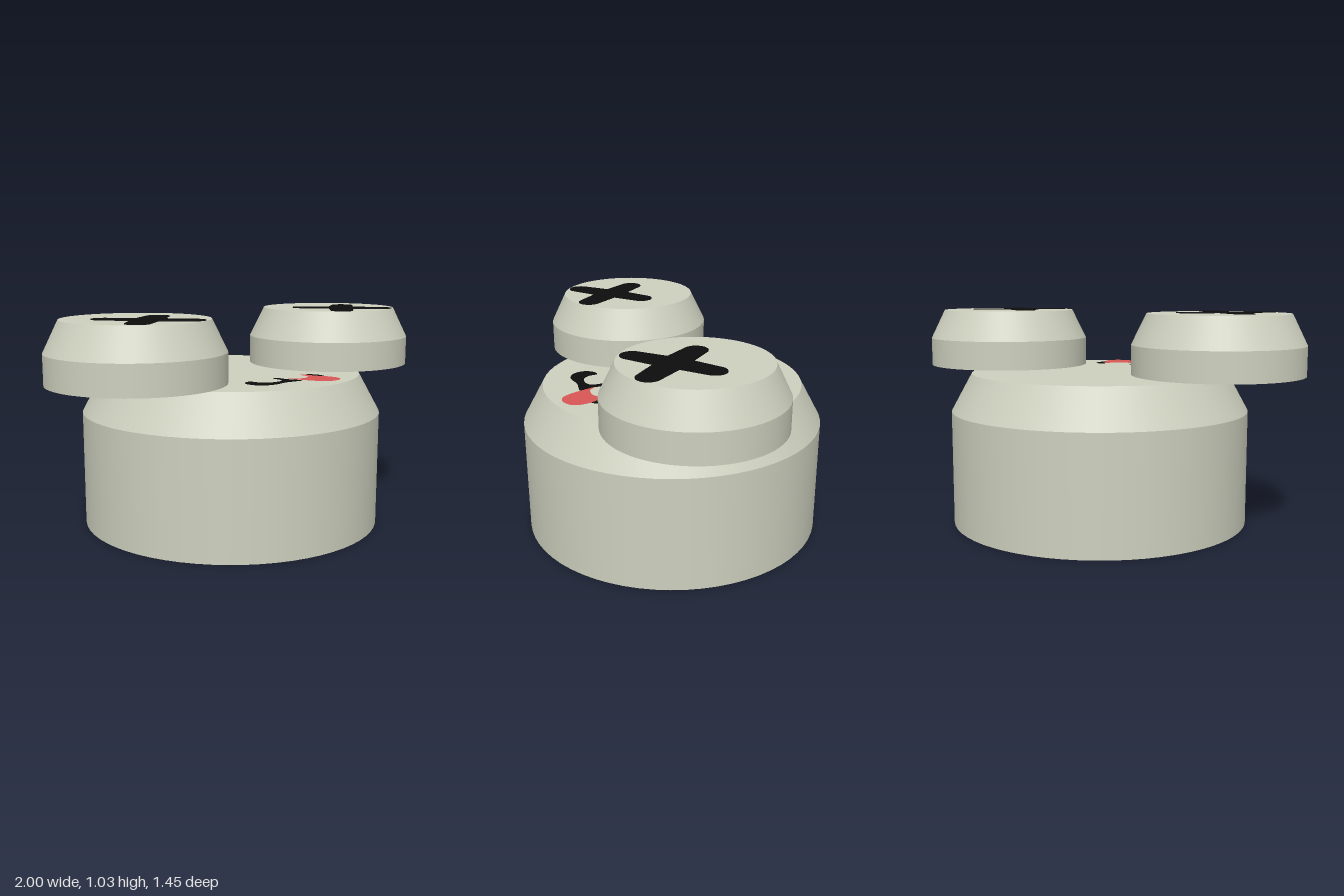
import * as THREE from 'three';

const mat = (name, color) => {
  const m = new THREE.MeshStandardMaterial({ color, side: THREE.DoubleSide });
  m.name = name;
  return m;
};

export function createModel() {
  const clay = mat('pale clay', 0xcdd0be);
  const black = mat('black', 0x0d0d0d);
  const red = mat('tongue red', 0xd95656);

  const model = new THREE.Group();
  model.name = 'model';

  const add = (parent, name, geometry, material, y = 0) => {
    const mesh = new THREE.Mesh(geometry, material);
    mesh.name = name;
    mesh.position.y = y;
    parent.add(mesh);
    return mesh;
  };

  // Hollow shell, open below: straight wall, bevel and flat cap
  const shell = (name, r, topR, y0, y1, y2) => {
    const g = new THREE.Group();
    g.name = name;
    const ring = (a, b, h) => new THREE.CylinderGeometry(a, b, h, 64, 1, true);
    add(g, name + 'Wall', ring(r, r, y1 - y0), clay, (y0 + y1) / 2);
    add(g, name + 'Bevel', ring(topR, r, y2 - y1), clay, (y1 + y2) / 2);
    add(g, name + 'Cap', new THREE.CircleGeometry(topR, 64).rotateX(-Math.PI / 2), clay, y2);
    model.add(g);
    return g;
  };

  shell('head', 0.727, 0.627, 0, 0.55, 0.732);

  // Cross with round arm ends, drawn in (x, -z)
  const cross = new THREE.Shape();
  const ends = [[0.142, 0.036], [-0.136, 0.046], [-0.14, -0.235], [0.142, -0.238]];
  const notch = 0.088, cy = -0.095, arm = 0.054;
  cross.moveTo(notch, cy);
  ends.forEach(([x, y], i) => {
    const dir = Math.atan2(y - cy, x);
    cross.absarc(x, y, arm, dir - Math.PI / 2, dir + Math.PI / 2, false);
    const a = (i + 1) * Math.PI / 2;
    cross.lineTo(Math.cos(a) * notch, cy + Math.sin(a) * notch);
  });
  // Thin plate passing through the cap, so it shows from both sides
  const crossGeo = new THREE.ExtrudeGeometry(cross, { depth: 0.006, bevelEnabled: false, curveSegments: 10 })
    .translate(0, 0, -0.003).rotateX(-Math.PI / 2);

  for (const s of [-1, 1]) {
    const side = s > 0 ? 'left' : 'right';
    const eye = shell(side + 'Eye', 0.407, 0.336, 0.74, 0.88, 1.025);
    add(eye, side + 'EyeCross', crossGeo, black, 1.025);
    eye.position.set(s * 0.593, 0, 0.072);
  }

  // Smooth flat outline from (x, z) points
  const blob = (pts) => {
    const curve = new THREE.CatmullRomCurve3(pts.map(([x, z]) => new THREE.Vector3(x, -z, 0)), true);
    const outline = curve.getPoints(pts.length * 4).slice(0, -1).map(p => new THREE.Vector2(p.x, p.y));
    return new THREE.ShapeGeometry(new THREE.Shape(outline)).rotateX(-Math.PI / 2);
  };

  // Mouth panel
  const mouth = new THREE.Group();
  mouth.name = 'mouth';
  model.add(mouth);
  add(mouth, 'mouthPanel',
    new THREE.PlaneGeometry(0.465, 0.365).rotateX(-Math.PI / 2).translate(-0.002, 0, 0.383), clay, 0.734);

  // Lip line either side of the tongue
  add(mouth, 'lip', blob([
    [-0.22, 0.385], [-0.19, 0.345], [-0.16, 0.34], [-0.145, 0.385], [-0.11, 0.415],
    [-0.05, 0.417], [-0.02, 0.395], [-0.02, 0.34], [-0.005, 0.32], [0.01, 0.34],
    [0.02, 0.39], [0.05, 0.46], [-0.05, 0.46], [-0.145, 0.476], [-0.205, 0.445],
  ]), black, 0.736);
  add(mouth, 'lipCorner', blob([
    [0.165, 0.35], [0.19, 0.333], [0.22, 0.355], [0.232, 0.4], [0.212, 0.442], [0.185, 0.405],
  ]), black, 0.736);

  // Tongue
  add(mouth, 'tongue', blob([
    [0.02, 0.385], [0.055, 0.417], [0.12, 0.417], [0.145, 0.395], [0.147, 0.35],
    [0.16, 0.333], [0.175, 0.35], [0.19, 0.405], [0.215, 0.445], [0.228, 0.5],
    [0.215, 0.54], [0.17, 0.565], [0.12, 0.56], [0.08, 0.52], [0.05, 0.46],
  ]), red, 0.738);

  return model;
}
